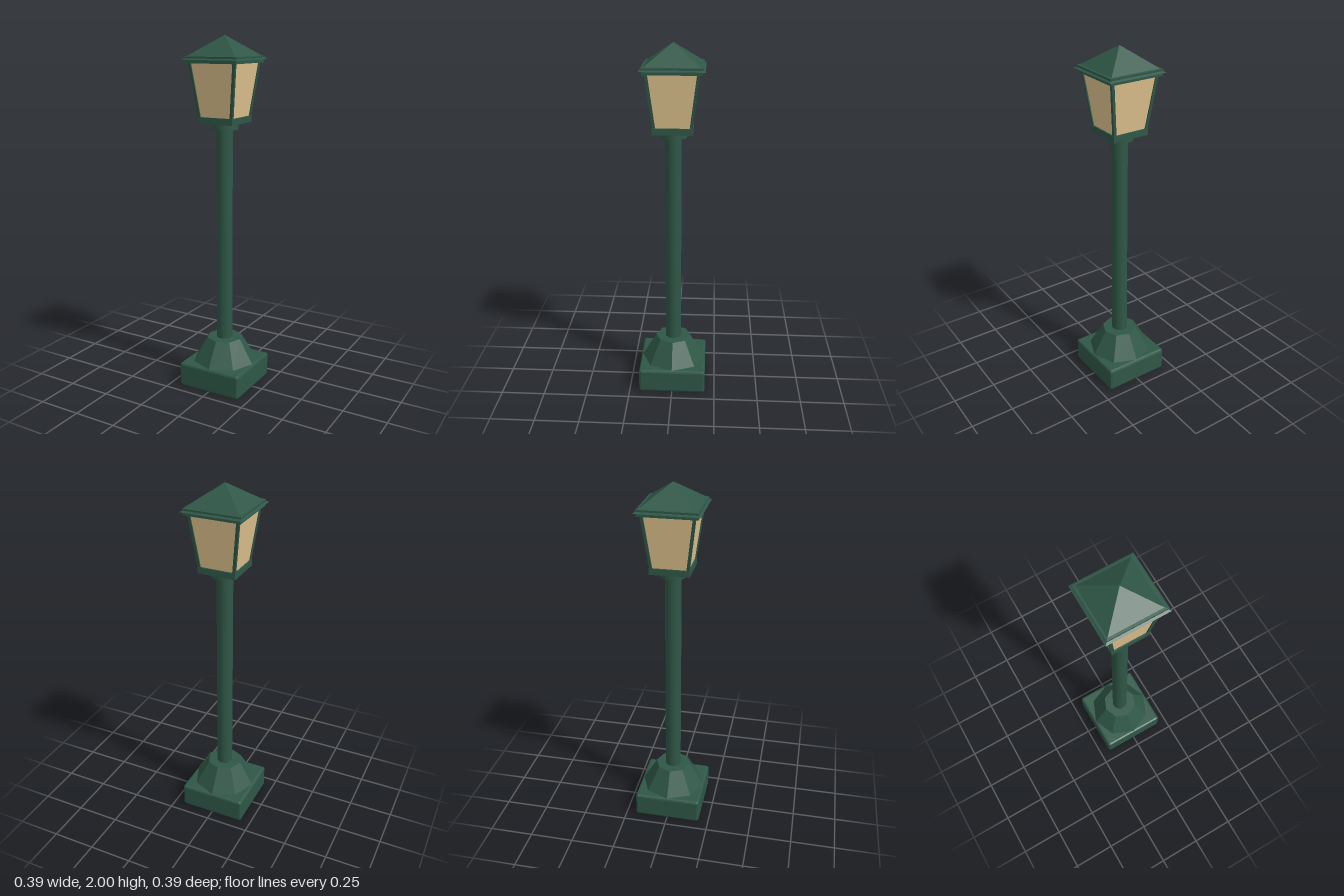
import * as THREE from 'three';
import { RoundedBoxGeometry } from 'three/addons/geometries/RoundedBoxGeometry.js';

export function createModel() {
  const group = new THREE.Group();
  const green = new THREE.MeshStandardMaterial({ color: 0x2f5747, flatShading: true });
  const greenSmooth = new THREE.MeshStandardMaterial({ color: 0x2f5747 });
  const amber = new THREE.MeshStandardMaterial({ color: 0xe0c48f, flatShading: true });

  const add = (name, geometry, material = green) => {
    const mesh = new THREE.Mesh(geometry, material);
    mesh.name = name;
    group.add(mesh);
    return mesh;
  };
  // Vertical cylinder or cone section between two heights
  const column = (rBottom, rTop, y0, y1, sides) =>
    new THREE.CylinderGeometry(rTop, rBottom, y1 - y0, sides).translate(0, (y0 + y1) / 2, 0);
  // Square section tapering from half-width h0 to h1
  const taper = (h0, h1, y0, y1) =>
    new THREE.CylinderGeometry(h1 * Math.SQRT2, h0 * Math.SQRT2, y1 - y0, 4)
      .rotateY(Math.PI / 4).translate(0, (y0 + y1) / 2, 0);

  // Chamfered square plinth and octagonal footing
  add('plinth', new RoundedBoxGeometry(0.386, 0.14, 0.386, 1, 0.013).translate(0, 0.07, 0));
  add('footing', column(0.187, 0.102, 0.135, 0.28, 8));

  // Round pole with a collar under the lantern
  add('pole', column(0.045, 0.045, 0.27, 1.52, 24), greenSmooth);
  add('collar', column(0.075, 0.075, 1.5, 1.54, 24), greenSmooth);

  // Lantern floor and glass
  add('lanternFloor', taper(0.108, 0.108, 1.535, 1.57));
  add('glass', taper(0.1, 0.136, 1.57, 1.857), amber);

  // Leaning corner bars: square posts sheared outwards
  const y0 = 1.565, y1 = 1.86;
  for (const sx of [-1, 1]) {
    for (const sz of [-1, 1]) {
      const bar = new THREE.BoxGeometry(0.016, y1 - y0, 0.016).translate(0, (y0 + y1) / 2, 0);
      const p = bar.attributes.position;
      for (let i = 0; i < p.count; i++) {
        const out = THREE.MathUtils.mapLinear(p.getY(i), y0, y1, 0.098, 0.135);
        p.setX(i, p.getX(i) + sx * out);
        p.setZ(i, p.getZ(i) + sz * out);
      }
      add('cornerBar', bar);
    }
  }

  // Roof: square profile with a thin drip lip and a pyramid cap
  const profile = [
    [0, 1.855], [0.157, 1.855], [0.157, 1.873], [0.171, 1.873],
    [0.159, 1.88], [0.159, 1.89], [0.146, 1.892], [0, 2],
  ].map(([h, y]) => new THREE.Vector2(h * Math.SQRT2, y));
  add('roof', new THREE.LatheGeometry(profile, 4).rotateY(Math.PI / 4));

  return group;
}
